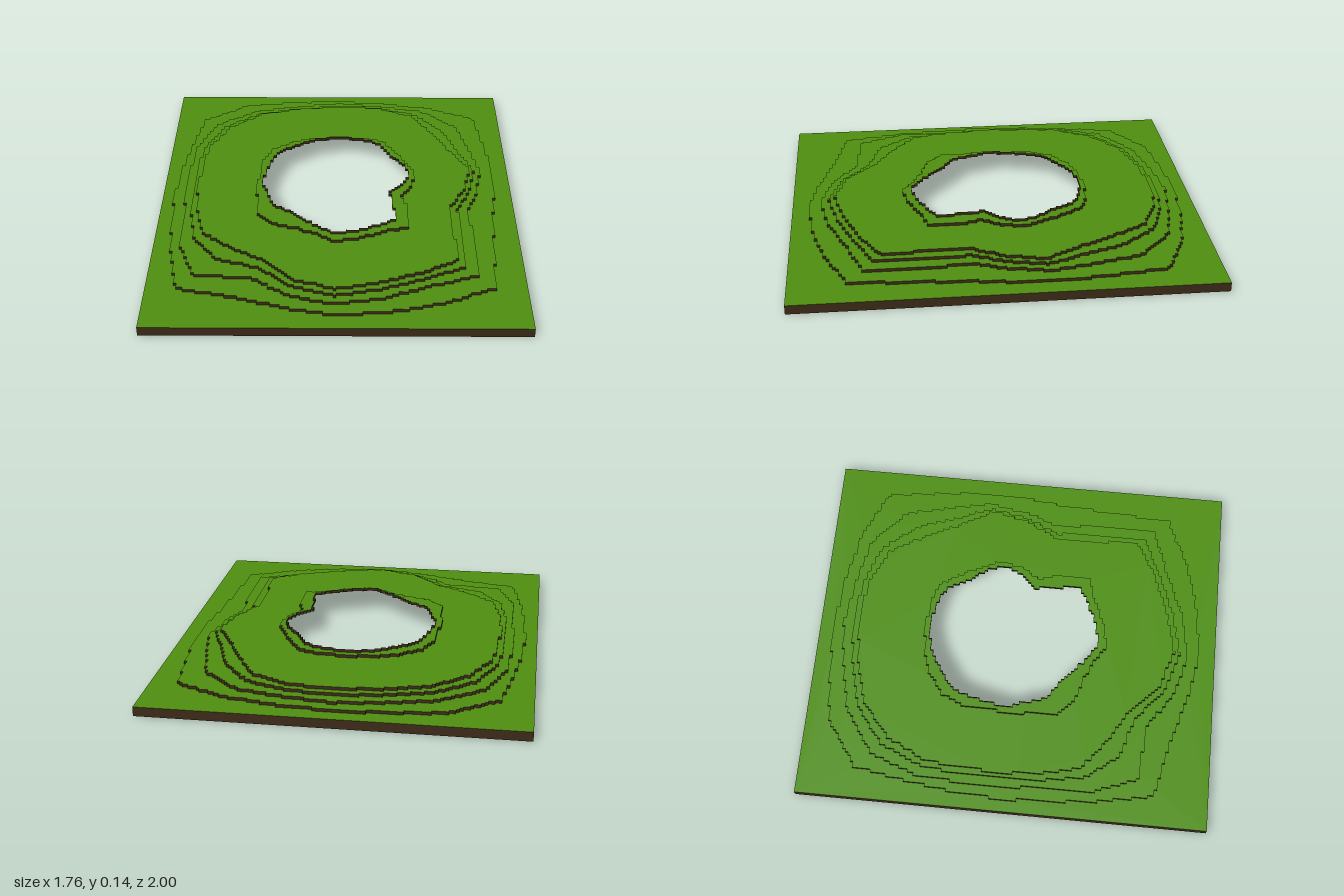
import * as THREE from 'three';

const CELL = 0.015; // grid size of the jagged outlines
const STEP = 0.015; // height of one terrace
const BASE = 0.045; // height of the ground slab

const grass = new THREE.MeshStandardMaterial({ color: 0x4f9010, side: THREE.DoubleSide });
const soil = new THREE.MeshStandardMaterial({ color: 0x3d2b18, side: THREE.DoubleSide });

// Terrace radii every 15 degrees, from +x turning towards +z
const foot = [.79, .79, .87, 1.03, .97, .93, .92, .9, .92, 1.04, .91, .84,
  .82, .84, .9, 1.03, 1.02, .95, .93, .94, .99, 1.05, .9, .83];
const lower = [.7, .66, .77, .93, .85, .85, .86, .83, .78, .93, .86, .78,
  .76, .79, .86, .93, .92, .88, .88, .88, .92, .9, .8, .76];
const upper = [.64, .58, .64, .81, .78, .77, .79, .75, .67, .69, .74, .71,
  .7, .72, .78, .82, .83, .8, .8, .81, .8, .72, .68, .7];
const crown = [.37, .33, .4, .48, .44, .44, .45, .4, .4, .44, .45, .41,
  .4, .41, .45, .48, .48, .47, .46, .47, .48, .43, .41, .41];
const opening = [.33, .27, .31, .41, .4, .4, .41, .36, .33, .32, .36, .35,
  .37, .38, .4, .43, .42, .44, .43, .44, .43, .38, .38, .38];
const middle = upper.map((r, i) => THREE.MathUtils.lerp(r, lower[i], 0.4));

// Walk the outline given by the radii and snap it to the grid, giving stair-stepped edges
function steppedLoop(radii) {
  const corners = radii.map((r, i) => {
    const angle = i * 2 * Math.PI / radii.length;
    return new THREE.Vector2(r * Math.cos(angle), r * Math.sin(angle));
  });
  const loop = [];
  const add = (x, z) => {
    const last = loop[loop.length - 1];
    if (!last || last.x !== x || last.y !== z) loop.push(new THREE.Vector2(x, z));
  };
  const visit = (p) => {
    const x = Math.round(p.x / CELL) * CELL, z = Math.round(p.y / CELL) * CELL;
    if (loop.length) add(x, loop[loop.length - 1].y);
    add(x, z);
  };
  corners.forEach((a, i) => {
    const b = corners[(i + 1) % corners.length];
    const n = Math.ceil(a.distanceTo(b) / CELL);
    for (let s = 0; s < n; s++) visit(a.clone().lerp(b, s / n));
  });
  visit(corners[0]);
  loop.pop(); // the closing point repeats the first
  return loop;
}

// Upright wall along a closed loop, facing outwards
function wall(name, loop, y0, y1) {
  const pos = [];
  loop.forEach((a, i) => {
    const b = loop[(i + 1) % loop.length];
    pos.push(a.x, y0, a.y, a.x, y1, a.y, b.x, y1, b.y);
    pos.push(a.x, y0, a.y, b.x, y1, b.y, b.x, y0, b.y);
  });
  const geo = new THREE.BufferGeometry();
  geo.setAttribute('position', new THREE.Float32BufferAttribute(pos, 3));
  geo.computeVertexNormals();
  const mesh = new THREE.Mesh(geo, soil);
  mesh.name = name;
  return mesh;
}

// Flat ring of grass between two loops
function lawn(name, outer, inner, y) {
  const flip = (loop) => loop.map((p) => new THREE.Vector2(p.x, -p.y));
  const shape = new THREE.Shape(flip(outer));
  shape.holes.push(new THREE.Path(flip(inner)));
  const geo = new THREE.ShapeGeometry(shape).rotateX(-Math.PI / 2);
  const mesh = new THREE.Mesh(geo, grass);
  mesh.position.y = y;
  mesh.name = name;
  return mesh;
}

export function createModel() {
  const group = new THREE.Group();
  group.name = 'terracedHill';

  // Rectangular ground slab, open underneath
  const slab = [[-.88, -1], [.88, -1], [.88, 1], [-.88, 1]].map(([x, z]) => new THREE.Vector2(x, z));
  group.add(wall('groundEdge', slab, 0, BASE));

  // Each terrace: a ring of grass and the soil step rising from its inner edge
  const loops = [slab, ...[foot, lower, middle, upper, crown, opening].map(steppedLoop)];
  for (let i = 1; i < loops.length; i++) {
    const y = BASE + (i - 1) * STEP;
    group.add(lawn('grassTerrace' + i, loops[i - 1], loops[i], y));
    group.add(wall('soilStep' + i, loops[i], y, y + STEP));
  }
  return group;
}
